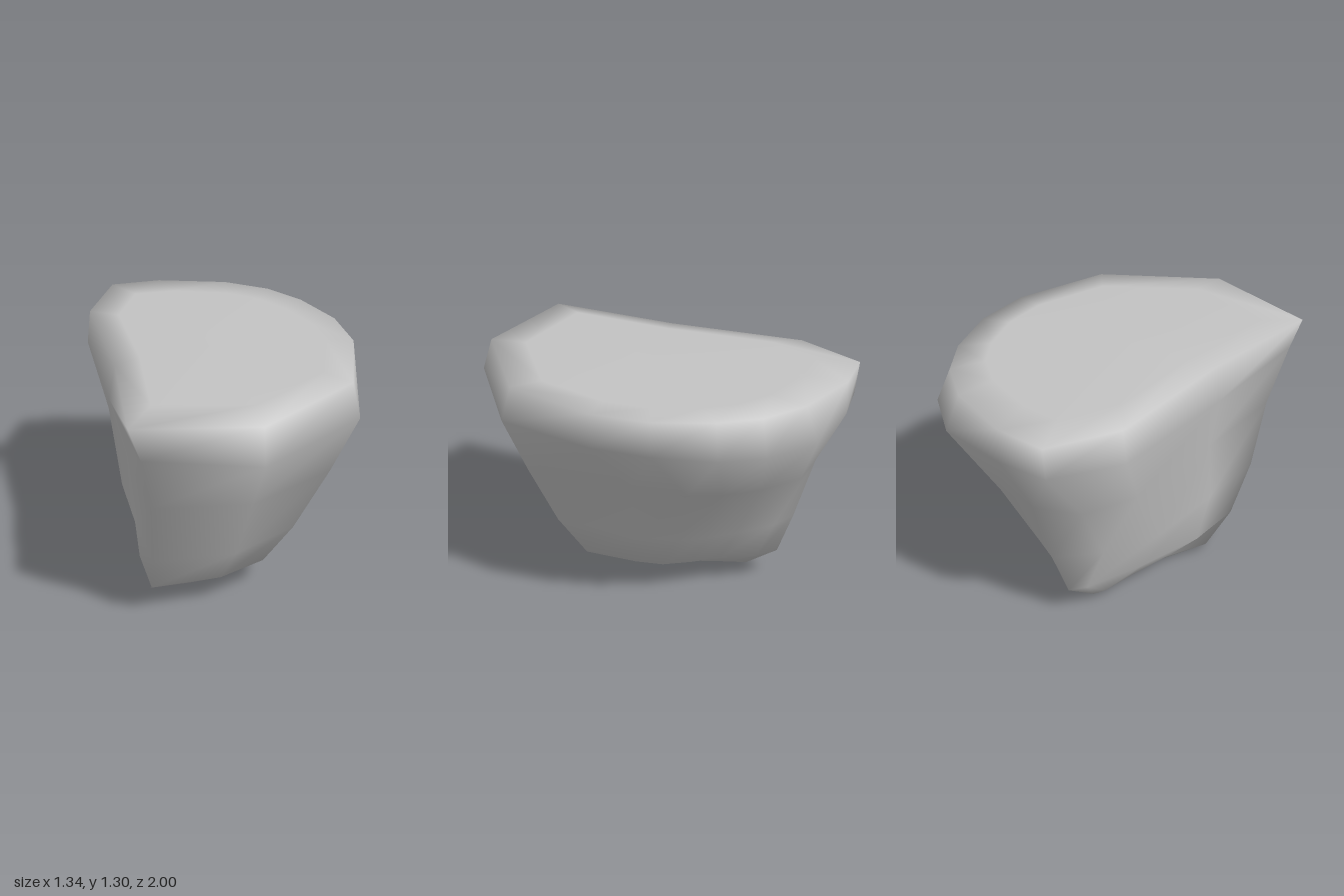
import * as THREE from 'three';

// Cross-sections from bottom to top. Each has a height and a loop of [x, z]
// points, clockwise seen from above, starting on the right of the back.
const SECTIONS = [
  // worn underside, a ridge bending towards the back
  { y: 0.045, loop: [[-0.33, -0.2], [-0.3, -0.4], [-0.27, -0.46], [-0.24, -0.35], [-0.2, -0.22], [-0.18, -0.14],
    [-0.17, -0.06], [-0.16, 0.04], [-0.15, 0.18], [-0.27, 0.27], [-0.48, 0.27], [-0.38, 0.05]] },
  // lower edge
  { y: 0.17, loop: [[-0.42, -0.24], [-0.31, -0.56], [-0.25, -0.64], [-0.15, -0.55], [-0.06, -0.37], [0.03, -0.24],
    [0.11, -0.1], [0.13, 0.05], [0.12, 0.34], [-0.14, 0.45], [-0.51, 0.46], [-0.51, 0.14]] },
  // lower flank
  { y: 0.42, loop: [[-0.53, -0.22], [-0.4, -0.54], [-0.22, -0.73], [-0.08, -0.66], [0.07, -0.5], [0.18, -0.36],
    [0.26, -0.22], [0.29, -0.02], [0.25, 0.45], [-0.1, 0.63], [-0.53, 0.61], [-0.54, 0.2]] },
  // upper flank
  { y: 0.78, loop: [[-0.55, -0.45], [-0.43, -0.74], [-0.2, -0.84], [0.03, -0.82], [0.23, -0.66], [0.34, -0.5],
    [0.41, -0.33], [0.42, -0.03], [0.41, 0.54], [-0.06, 0.78], [-0.55, 0.7], [-0.56, 0.15]] },
  // widest band
  { y: 1.1, loop: [[-0.62, -0.64], [-0.41, -0.98], [-0.14, -1], [0.25, -0.95], [0.49, -0.76], [0.61, -0.55],
    [0.67, -0.23], [0.67, 0.09], [0.53, 0.62], [-0.06, 1], [-0.61, 0.8], [-0.635, 0.1]] },
  // rim
  { y: 1.28, loop: [[-0.6, -0.64], [-0.41, -1], [-0.14, -1], [0.22, -0.88], [0.43, -0.72], [0.56, -0.52],
    [0.66, -0.22], [0.665, 0.09], [0.5, 0.58], [-0.05, 0.94], [-0.67, 0.81], [-0.6, 0.1]] },
];

// Flat top, leaning slightly
const topHeight = (x) => 1.295 - 0.015 * x;

function createRockGeometry() {
  const rim = SECTIONS[SECTIONS.length - 1].loop;
  const n = rim.length;
  const positions = [];
  const indices = [];

  for (const { y, loop } of SECTIONS) {
    for (const [x, z] of loop) positions.push(x, y, z);
  }
  // Inner edge of the top follows the rim
  for (const [x, z] of rim) positions.push(0.78 * x, topHeight(0.78 * x), 0.78 * z);

  const bottom = positions.length / 3;
  const top = bottom + 1;
  positions.push(-0.31, 0, 0, 0, topHeight(0), 0);

  // Join neighbouring sections and close both ends
  const last = SECTIONS.length * n;
  for (let i = 0; i < n; i++) {
    const j = (i + 1) % n;
    for (let r = 0; r < last; r += n) {
      const a = r + i, b = r + j, c = a + n, d = b + n;
      indices.push(a, c, b, b, c, d);
    }
    indices.push(bottom, i, j, last + i, top, last + j);
  }

  const geometry = new THREE.BufferGeometry();
  geometry.setAttribute('position', new THREE.Float32BufferAttribute(positions, 3));
  geometry.setIndex(indices);
  geometry.computeVertexNormals();
  return geometry;
}

export function createModel() {
  const stone = new THREE.MeshStandardMaterial({ color: 0xc3c3c3 });
  stone.name = 'stone grey';

  const rock = new THREE.Mesh(createRockGeometry(), stone);
  rock.name = 'rock';

  const group = new THREE.Group();
  group.name = 'flatToppedRock';
  group.add(rock);
  return group;
}
